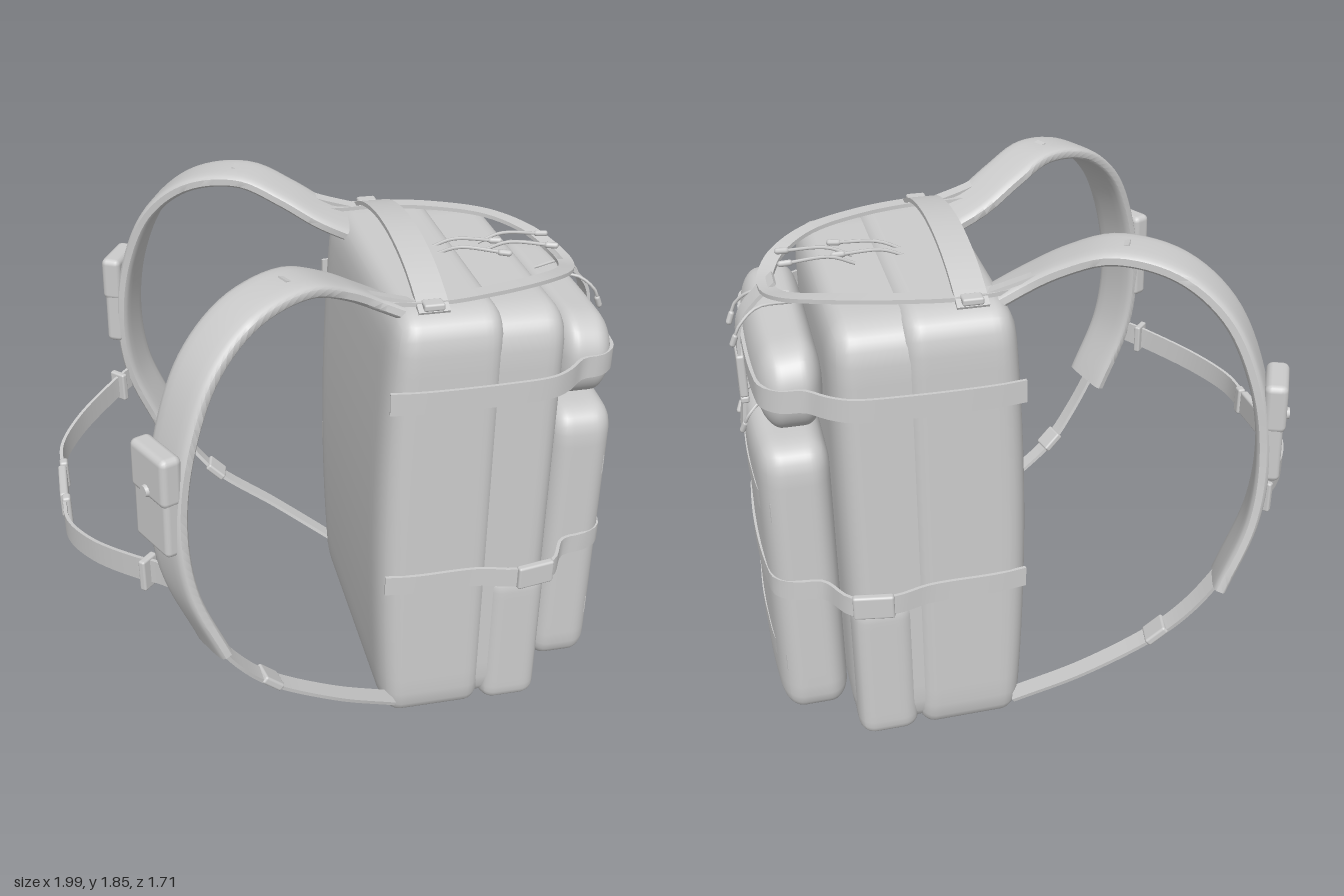
import * as THREE from 'three';
import { mergeVertices, toCreasedNormals } from 'three/addons/utils/BufferGeometryUtils.js';
import { RoundedBoxGeometry } from 'three/addons/geometries/RoundedBoxGeometry.js';

const mat = new THREE.MeshStandardMaterial({ color: 0xcccccc });
const V = (x, y, z) => new THREE.Vector3(x, y, z);

export function createModel() {
  const root = new THREE.Group();
  const add = (name, geo, parent = root) => {
    const m = new THREE.Mesh(geo, mat);
    m.name = name;
    parent.add(m);
    return m;
  };

  // Padded box: elliptical corner radii (rx along x, r in y and z), then an optional bow rule
  function soft(x0, x1, y0, y1, hz, rx, r, bow) {
    let g = new THREE.BoxGeometry(2, 2, 2, 22, 22, 22);
    g.deleteAttribute('uv');
    g.deleteAttribute('normal');
    g = mergeVertices(g);
    const half = [(x1 - x0) / 2, (y1 - y0) / 2, hz], rad = [rx, r, r];
    const mid = V((x0 + x1) / 2, (y0 + y1) / 2, 0), p = g.attributes.position, v = V();
    for (let i = 0; i < p.count; i++) {
      const q = [p.getX(i), p.getY(i), p.getZ(i)].map((t, k) => Math.sin(t * Math.PI / 2) * half[k]);
      const c = q.map((t, k) => Math.max(rad[k] - half[k], Math.min(half[k] - rad[k], t)));
      const d = V(...q.map((t, k) => (t - c[k]) / rad[k])).normalize();
      v.set(c[0] + d.x * rx, c[1] + d.y * r, c[2] + d.z * r).add(mid);
      if (bow) bow(v);
      p.setXYZ(i, v.x, v.y, v.z);
    }
    g.computeVertexNormals();
    return g;
  }

  // Webbing swept along a curve; 'across' is the width direction, or 'face' the facing direction
  function webbing(pts, w, t, { across, face, padded = false, steps = 40 }) {
    const curve = new THREE.CatmullRomCurve3(pts, false, 'centripetal');
    const n = padded ? 16 : 4, pos = [], idx = [];
    const section = Array.from({ length: n }, (_, k) => {
      const a = (k + 0.5) / n * Math.PI * 2, e = padded ? 0.5 : 0.001;
      const f = (c) => Math.sign(c) * Math.abs(c) ** e / 2;
      return [f(Math.cos(a)) * w, f(Math.sin(a)) * t];
    });
    for (let i = 0; i <= steps; i++) {
      const c = curve.getPointAt(i / steps), T = curve.getTangentAt(i / steps);
      const W = face ? T.clone().cross(face) : across.clone().addScaledVector(T, -across.dot(T));
      W.normalize();
      const N = T.clone().cross(W);
      for (const [a, b] of section) pos.push(...c.clone().addScaledVector(W, a).addScaledVector(N, b).toArray());
    }
    for (let i = 0; i < steps; i++) for (let k = 0; k < n; k++) {
      const a = i * n + k, b = i * n + (k + 1) % n;
      idx.push(a, b, a + n, b, b + n, a + n);
    }
    const e = steps * n;
    for (let k = 1; k < n - 1; k++) idx.push(0, k + 1, k, e, e + k, e + k + 1);
    const g = new THREE.BufferGeometry();
    g.setAttribute('position', new THREE.Float32BufferAttribute(pos, 3));
    g.setIndex(idx);
    return toCreasedNormals(g, 0.8);
  }

  // Small buckle block
  function buckle(name, size, at, rot = [0, 0, 0], parent = root) {
    const m = add(name, new RoundedBoxGeometry(...size, 2, Math.min(...size) * 0.3), parent);
    m.position.copy(at);
    m.rotation.set(...rot);
    return m;
  }

  // Zip pull: cord with a thicker end
  function zipPull(pts) {
    const g = new THREE.Group();
    g.name = 'zipPull';
    add('cord', new THREE.TubeGeometry(new THREE.CatmullRomCurve3(pts), 10, 0.006, 6), g);
    const end = pts[pts.length - 1], dir = end.clone().sub(pts[pts.length - 2]).normalize();
    const tip = add('cordEnd', new THREE.CapsuleGeometry(0.011, 0.03, 3, 8), g);
    tip.position.copy(end);
    tip.quaternion.setFromUnitVectors(V(0, 1, 0), dir);
    root.add(g);
  }

  const Y = V(0, 1, 0), X = V(1, 0, 0), Z = V(0, 0, 1);
  // Run a half path from the +z side to the middle and back on the other side
  const across2 = (half) => [...half, ...half.slice(0, -1).reverse().map((p) => V(p.x, p.y, -p.z))];

  // Bag compartments
  add('mainCompartment', soft(0.12, 0.5, 0, 1.68, 0.55, 0.07, 0.12, (v) => {
    if (v.x < 0.31) v.x -= 0.04 * (1 - ((v.y - 0.8) / 0.88) ** 2) * (0.31 - v.x) / 0.19;
  }));
  add('frontCompartment', soft(0.34, 0.72, 0.02, 1.655, 0.53, 0.08, 0.13));
  add('sidePockets', soft(0.49, 0.71, 0.025, 0.62, 0.545, 0.06, 0.06));
  const bulge = (x, depth) => (v) => { if (v.x > x) v.x += depth * (1 - (v.z / 0.43) ** 2); };
  add('lowerPocket', soft(0.725, 0.955, 0.08, 1.2, 0.425, 0.07, 0.1, bulge(0.85, 0.025)));
  add('upperPocket', soft(0.725, 0.93, 1.24, 1.555, 0.43, 0.07, 0.14, (v) => {
    bulge(0.83, 0.02)(v);
    if (v.y > 1.4) v.y -= (v.x - 0.73) * 0.12;
  }));

  // Attachment bands on the lower pocket
  for (const y of [0.32, 0.96]) {
    add('pocketBand', webbing(across2([V(0.935, y, 0.397), V(0.964, y, 0.3), V(0.976, y, 0.15), V(0.981, y, 0)]),
      0.075, 0.008, { across: Y }));
  }

  // Compression belts around sides and front
  add('upperBelt', webbing(across2([V(0.1, 1.39, 0.545), V(0.2, 1.39, 0.557), V(0.48, 1.39, 0.557), V(0.66, 1.39, 0.54),
    V(0.73, 1.39, 0.5), V(0.8, 1.39, 0.437), V(0.87, 1.39, 0.425), V(0.925, 1.39, 0.375), V(0.943, 1.39, 0.28),
    V(0.953, 1.39, 0)]), 0.08, 0.012, { across: Y, steps: 90 }));
  add('lowerBelt', webbing(across2([V(0.1, 0.655, 0.545), V(0.2, 0.655, 0.557), V(0.44, 0.655, 0.56), V(0.57, 0.655, 0.59),
    V(0.71, 0.655, 0.565), V(0.79, 0.655, 0.45), V(0.88, 0.655, 0.43), V(0.945, 0.655, 0.39), V(0.966, 0.655, 0.3),
    V(0.983, 0.655, 0)]), 0.075, 0.012, { across: Y, steps: 90 }));

  // Top yoke webbing, carry handle and closing strap
  add('topYoke', webbing(across2([V(0.02, 1.715, 0.37), V(0.12, 1.695, 0.41), V(0.28, 1.69, 0.425), V(0.48, 1.685, 0.385),
    V(0.68, 1.67, 0.3), V(0.8, 1.64, 0.19), V(0.85, 1.615, 0.08), V(0.86, 1.61, 0)]), 0.055, 0.014, { face: Y, steps: 80 }));
  add('carryHandle', webbing(across2([V(0.255, 1.67, 0.48), V(0.255, 1.7, 0.42), V(0.255, 1.745, 0.3), V(0.255, 1.775, 0.15),
    V(0.255, 1.785, 0)]), 0.105, 0.015, { across: X }));
  add('closingStrap', webbing([V(0.83, 1.63, 0), V(0.9, 1.57, 0), V(0.955, 1.5, 0), V(0.972, 1.38, 0), V(0.968, 1.25, 0),
    V(0.975, 1.17, 0), V(0.987, 1.08, 0)], 0.095, 0.012, { across: Z }));
  buckle('closingBuckle', [0.03, 0.16, 0.11], V(0.97, 1.3, 0));
  buckle('strapAdjuster', [0.03, 0.025, 0.11], V(0.97, 1.21, 0));

  // Zip pulls on the lid and both pockets
  for (const [x, z, turn] of [[0.38, -0.03, 0.03], [0.38, 0.03, 0.08], [0.56, -0.04, 0.01], [0.56, 0.03, 0.05]]) {
    zipPull([V(x, 1.67, z), V(x + 0.08, 1.7, z + turn * 0.3), V(x + 0.23, 1.69, z + turn)]);
  }
  for (const s of [1, -1]) {
    zipPull([V(0.78, 1.555, s * 0.04), V(0.9, 1.56, s * 0.07), V(0.965, 1.51, s * 0.095), V(0.985, 1.46, s * 0.09)]);
    zipPull([V(0.8, 1.195, s * 0.04), V(0.9, 1.215, s * 0.06), V(0.965, 1.17, s * 0.09), V(0.985, 1.12, s * 0.075)]);
  }

  // Shoulder straps and everything attached to them, once per side
  for (const s of [1, -1]) {
    const side = new THREE.Group();
    side.name = s > 0 ? 'frontSideHarness' : 'rearSideHarness';
    root.add(side);
    const P = (x, y, z) => V(x, y, z * s);
    const turn = s * 0.45;

    add('shoulderStrap', webbing([P(0.15, 1.65, 0.36), P(0.06, 1.695, 0.365), P(-0.06, 1.765, 0.41), P(-0.2, 1.82, 0.485),
      P(-0.38, 1.785, 0.58), P(-0.52, 1.66, 0.66), P(-0.61, 1.45, 0.715), P(-0.65, 1.2, 0.74), P(-0.63, 0.95, 0.755),
      P(-0.53, 0.68, 0.76)], 0.2, 0.05, { across: P(0.4, 0, 0.92), padded: true, steps: 56 }), side);

    // Pouch with a snap button
    const pouch = new THREE.Group();
    pouch.name = 'strapPouch';
    pouch.position.copy(P(-0.675, 1.275, 0.745));
    pouch.rotation.set(0, turn, -0.03);
    side.add(pouch);
    buckle('pouchBody', [0.065, 0.35, 0.19], V(0, 0, 0), [0, 0, 0], pouch);
    buckle('pouchFlap', [0.075, 0.17, 0.195], V(-0.003, 0.09, 0), [0, 0, 0], pouch);
    const snap = add('snapButton', new THREE.CylinderGeometry(0.018, 0.022, 0.014, 16), pouch);
    snap.position.set(-0.044, 0.035, 0);
    snap.rotation.z = Math.PI / 2;

    // Lower adjustment strap
    add('adjustmentStrap', webbing([P(-0.55, 0.72, 0.755), P(-0.45, 0.56, 0.725), P(-0.34, 0.43, 0.685), P(-0.1, 0.265, 0.625),
      P(0.14, 0.11, 0.53)], 0.065, 0.014, { across: Z }), side);
    buckle('adjustmentBuckle', [0.09, 0.03, 0.085], P(-0.34, 0.435, 0.685), [0, s * 0.2, -0.75], side);

    // Load lifter over the shoulder
    add('loadLifter', webbing([P(0.2, 1.69, 0.42), P(0.05, 1.735, 0.43), P(-0.12, 1.805, 0.46), P(-0.24, 1.845, 0.51)],
      0.045, 0.012, { across: P(0.4, 0, 0.92) }), side);
    buckle('handleTab', [0.07, 0.025, 0.05], P(0.255, 1.69, 0.46), [0, 0, 0], side);

    // Chest strap half
    add('chestStrap', webbing([P(-0.62, 0.935, 0.74), P(-0.69, 0.925, 0.66), P(-0.75, 0.91, 0.6), P(-0.89, 0.875, 0.42),
      P(-0.965, 0.855, 0.25), P(-0.97, 0.85, 0.08)], 0.085, 0.012, { across: Y }), side);
    buckle('chestStrapAdjuster', [0.025, 0.115, 0.07], P(-0.72, 0.915, 0.635), [0, s * -0.75 + Math.PI, 0], side);
    buckle('chestStrapSlider', [0.03, 0.11, 0.04], P(-0.965, 0.85, 0.12), [0, 0, 0], side);

    // Side belt buckle
    buckle('sideBuckle', [0.14, 0.09, 0.03], P(0.64, 0.655, 0.585), [0, s * 0.17, 0], side);
  }
  buckle('chestBuckle', [0.03, 0.1, 0.2], V(-0.972, 0.85, 0));
  return root;
}
